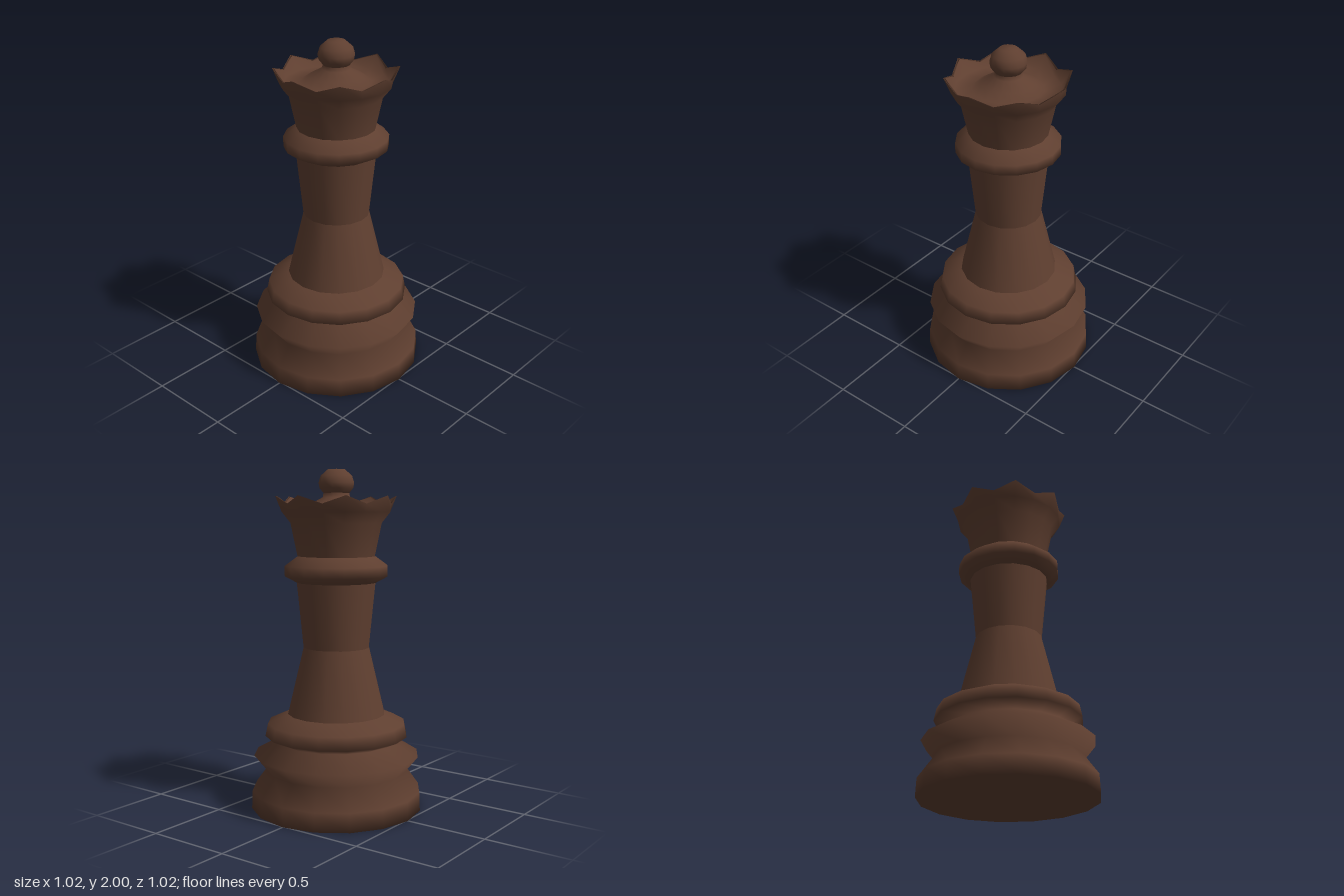
import * as THREE from 'three';

const SIDES = 16;

export function createModel() {
  const group = new THREE.Group();
  const wood = new THREE.MeshStandardMaterial({ color: 0x5f3f30 });
  wood.name = 'dark brown wood';

  // Turned part from [radius, height] pairs, listed from the bottom up
  function turned(name, profile) {
    const points = profile.map(([r, y]) => new THREE.Vector2(r, y));
    const mesh = new THREE.Mesh(new THREE.LatheGeometry(points, SIDES), wood);
    mesh.name = name;
    group.add(mesh);
    return mesh;
  }

  // Stepped foot, closed underneath
  turned('base', [
    [0, 0], [0.51, 0], [0.505, 0.11], [0.418, 0.23], [0.493, 0.324], [0.345, 0.403],
    [0.425, 0.44], [0.41, 0.515], [0.29, 0.568],
  ]);
  turned('lowerStem', [[0.29, 0.568], [0.195, 0.965]]);
  turned('upperStem', [[0.195, 0.965], [0.233, 1.347]]);
  turned('collar', [[0.233, 1.347], [0.303, 1.385], [0.303, 1.445], [0.228, 1.5]]);

  // Flared crown: outer wall, rim, then the hollow inside rising to a dome
  const crownProfile = [
    [0.228, 1.5], [0.268, 1.692], [0.318, 1.755], [0.355, 1.846], [0.342, 1.842],
    [0.295, 1.765], [0.2, 1.765], [0.15, 1.8], [0.08, 1.838], [0.075, 1.865],
  ];
  const crown = turned('crown', crownProfile);
  const pos = crown.geometry.attributes.position;
  // Pull every second column of the rim down and in, leaving eight points
  for (let column = 1; column < SIDES; column += 2) {
    for (const row of [3, 4]) {
      const i = column * crownProfile.length + row;
      const k = row === 3 ? 0.322 / 0.355 : 0.31 / 0.342;
      pos.setXYZ(i, pos.getX(i) * k, pos.getY(i) - 0.045, pos.getZ(i) * k);
    }
  }

  // Ball on top
  turned('finial', [
    [0.075, 1.862], [0.098, 1.89], [0.104, 1.92], [0.092, 1.96], [0.05, 1.997], [0, 2],
  ]);

  return group;
}
